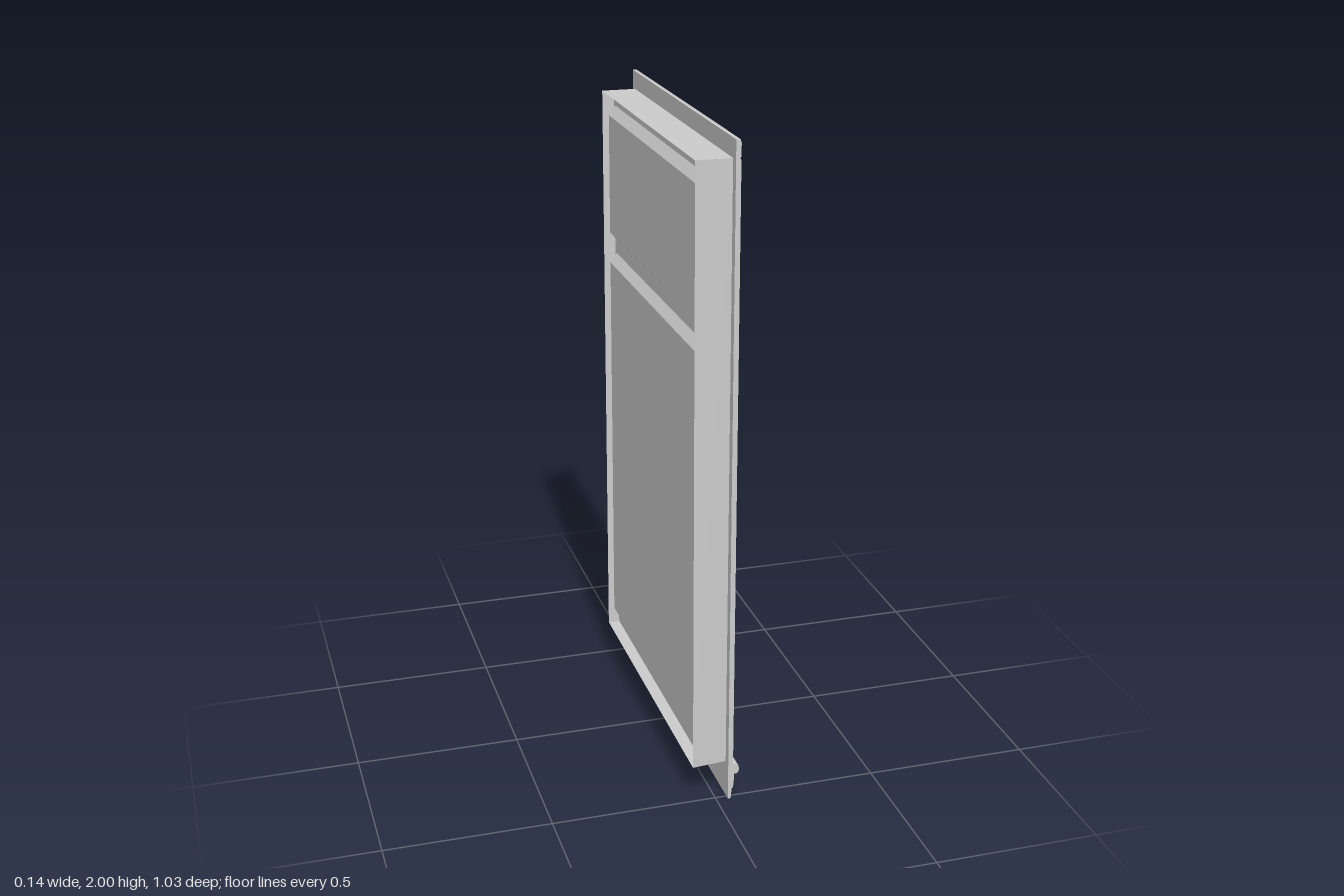
import * as THREE from 'three';

const material = new THREE.MeshStandardMaterial({ color: 0xcccccc, flatShading: true, side: THREE.DoubleSide });

// The window looks toward +x: z runs along its width, y up, x through the wall.
const HALF = 0.515, OPEN = 0.49, SILL = 0.115, HEAD = 1.945;
const BACK = -0.07, WALL = 0.035, FACE = 0.05, SASH = -0.033, GLASS = -0.055;

function add(parent, name, geometry) {
  const mesh = new THREE.Mesh(geometry, material);
  mesh.name = name;
  parent.add(mesh);
  return mesh;
}

// Rectangle as four [z, y] corners, counter-clockwise seen from +x
const rect = (w, y0, y1) => [[w, y0], [-w, y0], [-w, y1], [w, y1]];

// Flat quads from lists of four [x, y, z] corners
function quads(list) {
  const points = list.flatMap(([a, b, c, d]) => [a, b, c, a, c, d]).flat();
  const geometry = new THREE.BufferGeometry();
  geometry.setAttribute('position', new THREE.Float32BufferAttribute(points, 3));
  geometry.computeVertexNormals();
  return geometry;
}

// Band of four quads joining one rectangle at xa to another at xb
function band(a, xa, b, xb) {
  return quads(a.map((p, i) => {
    const j = (i + 1) % 4;
    return [[xa, p[1], p[0]], [xa, a[j][1], a[j][0]], [xb, b[j][1], b[j][0]], [xb, b[i][1], b[i][0]]];
  }));
}

const panel = (r, x) => quads([r.map(([z, y]) => [x, y, z])]);

// Profile in x and y, run along the whole width
function molding(points) {
  const shape = new THREE.Shape(points.map(([x, y]) => new THREE.Vector2(x, y)));
  return new THREE.ExtrudeGeometry(shape, { depth: 2 * HALF, bevelEnabled: false }).translate(0, 0, -HALF);
}

export function createModel() {
  const group = new THREE.Group();
  group.name = 'window';

  // Jamb lining: open sleeve, its back lower corner slightly out of true
  const opening = rect(OPEN, SILL, HEAD);
  const rear = rect(OPEN, SILL, HEAD);
  rear[0][0] = 0.5;
  add(group, 'jambLining', band(opening, WALL, rear, BACK));

  // Flat casing around the opening
  for (const side of [-1, 1]) {
    const width = HALF - OPEN;
    add(group, side > 0 ? 'leftCasing' : 'rightCasing', new THREE.BoxGeometry(FACE - WALL, HEAD - SILL, width))
      .position.set((FACE + WALL) / 2, (HEAD + SILL) / 2, side * (OPEN + width / 2));
  }
  add(group, 'headCasing', molding([
    [WALL, HEAD], [FACE - 0.004, HEAD], [FACE, HEAD + 0.01], [FACE, 1.99], [FACE - 0.003, 2], [WALL, 2],
  ]));

  // Stool with a rounded nose, and the stepped apron below it
  add(group, 'stool', molding([
    [WALL, 0.083], [0.062, 0.083], [0.067, 0.088], [0.069, 0.098],
    [0.067, 0.109], [0.062, 0.115], [WALL, 0.118],
  ]));
  add(group, 'apron', molding([
    [WALL, 0], [0.043, 0], [0.045, 0.01], [0.046, 0.032], [0.051, 0.038], [0.053, 0.06], [0.053, 0.083], [WALL, 0.083],
  ]));

  // Sash face: stiles and rails around two openings
  const sash = new THREE.Group();
  sash.name = 'sash';
  group.add(sash);
  const lights = [
    { name: 'upper', y0: 1.473, y1: 1.9, bottom: 0.025 },
    { name: 'lower', y0: 0.163, y1: 1.428, bottom: 0.015 },
  ];
  const path = (r, Type) => new Type(r.map(([z, y]) => new THREE.Vector2(-z, y)));
  const face = path(opening, THREE.Shape);
  for (const { y0, y1 } of lights) face.holes.push(path(rect(0.475, y0, y1), THREE.Path));
  add(sash, 'sashFrame', new THREE.ShapeGeometry(face).rotateY(Math.PI / 2).translate(SASH, 0, 0));

  // Sloped glazing beads and panes set behind the sash face
  for (const { name, y0, y1, bottom } of lights) {
    const outer = rect(0.475, y0, y1);
    const inner = rect(0.47, y0 + bottom, y1 - 0.028);
    add(sash, name + 'GlazingBead', band(outer, SASH, inner, GLASS));
    add(sash, name + 'Pane', panel(inner, GLASS));
  }
  return group;
}
